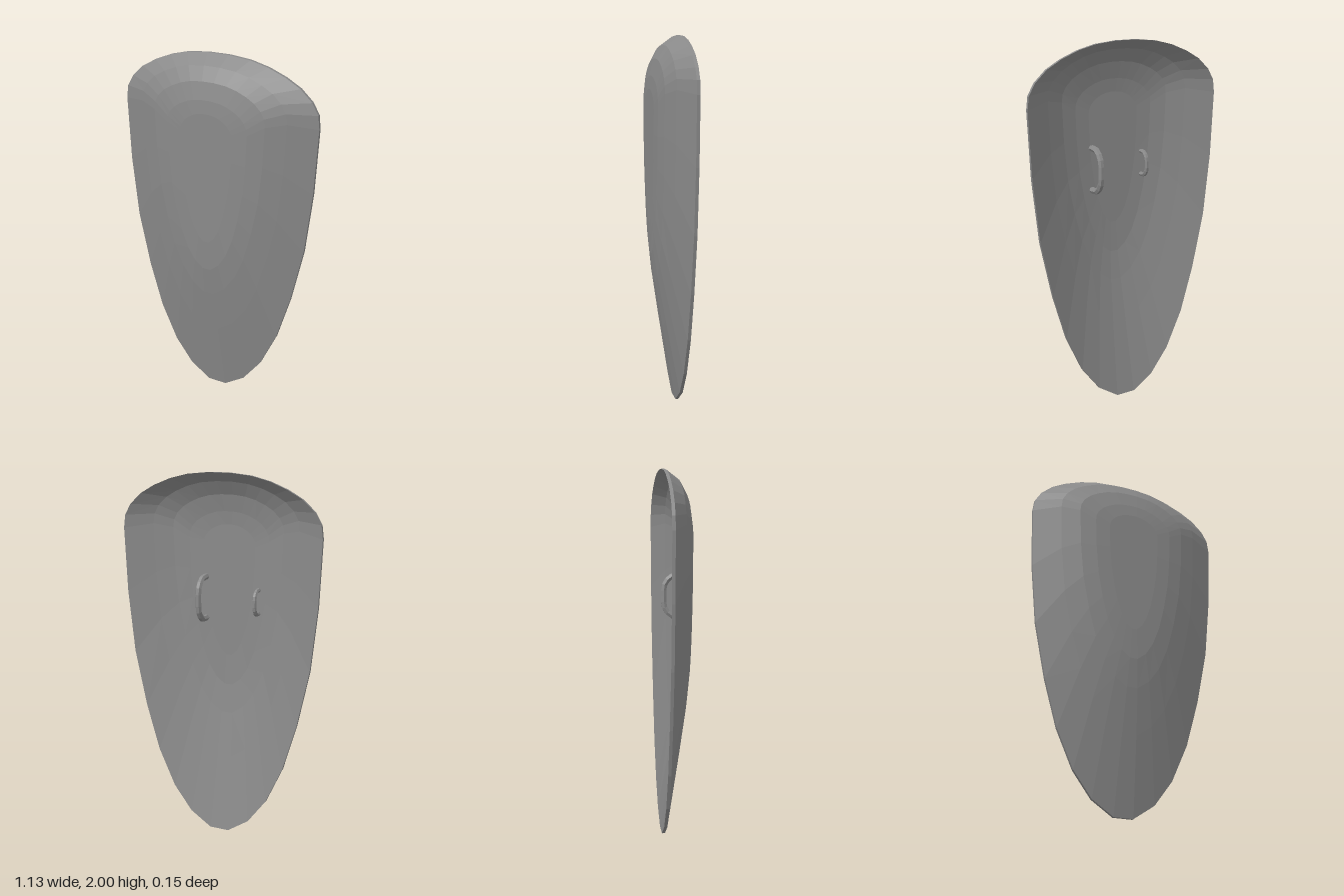
import * as THREE from 'three';

const steel = new THREE.MeshStandardMaterial({ color: 0x8a8a8a });
steel.name = 'steel grey';

// right half of the rim, bottom to top
const half = [
  [0.055, 0], [0.175, 0.08], [0.28, 0.22], [0.375, 0.43], [0.45, 0.69],
  [0.515, 1.0], [0.55, 1.34], [0.564, 1.69], [0.555, 1.76], [0.52, 1.82],
  [0.455, 1.88], [0.375, 1.925], [0.28, 1.963], [0.18, 1.988], [0.06, 2.0],
];
const outline = [...half, ...half.slice().reverse().map(([x, y]) => [-x, y])];

// dome rings from rim to crown: width scale, bottom y, top y, front z
const rings = [
  [1, 0, 2, -0.06],
  [0.743, 0.42, 1.95, 0.01],
  [0.566, 0.67, 1.88, 0.05],
  [0.41, 0.83, 1.79, 0.07],
  [0.265, 1.0, 1.72, 0.077],
];
const THICK = 0.017;

function flat(geometry) {
  const g = geometry.index ? geometry.toNonIndexed() : geometry;
  g.computeVertexNormals();
  return g;
}

function shellGeometry() {
  const pos = [];
  const n = outline.length;
  const point = (r, i, back) => {
    const [s, y0, y1, z] = rings[r];
    const [x, y] = outline[i % n];
    return [x * s, y0 + (y / 2) * (y1 - y0), z - (back ? THICK : 0)];
  };
  const quad = (a, b, c, d) => pos.push(...a, ...b, ...c, ...a, ...c, ...d);
  const last = rings.length - 1;
  for (let i = 0; i < n; i++) {
    // domed front and hollow back
    for (let r = 0; r < last; r++) {
      quad(point(r, i), point(r, i + 1), point(r + 1, i + 1), point(r + 1, i));
      quad(point(r, i, true), point(r + 1, i, true), point(r + 1, i + 1, true), point(r, i + 1, true));
    }
    // flat crown on both sides
    pos.push(...point(last, i), ...point(last, i + 1), 0, 1.4, rings[last][3]);
    pos.push(...point(last, i + 1, true), ...point(last, i, true), 0, 1.4, rings[last][3] - THICK);
    // rim edge
    quad(point(0, i), point(0, i, true), point(0, i + 1, true), point(0, i + 1));
  }
  const g = new THREE.BufferGeometry();
  g.setAttribute('position', new THREE.Float32BufferAttribute(pos, 3));
  return flat(g);
}

// bowed grip whose two feet sink into the back of the shell
function handle(name, x, y0, y1, zFoot, zBar, radius) {
  const h = y1 - y0;
  const v = (t, d) => new THREE.Vector3(x, y0 + h * t, zFoot + (zBar - zFoot) * d);
  const path = new THREE.CatmullRomCurve3([
    v(0.04, 0), v(0.06, 0.6), v(0.24, 0.95), v(0.5, 1), v(0.76, 0.95), v(0.94, 0.6), v(0.96, 0),
  ]);
  const mesh = new THREE.Mesh(flat(new THREE.TubeGeometry(path, 12, radius, 6)), steel);
  mesh.name = name;
  return mesh;
}

export function createModel() {
  const group = new THREE.Group();
  group.name = 'shield';
  const shell = new THREE.Mesh(shellGeometry(), steel);
  shell.name = 'shieldShell';
  group.add(shell);
  group.add(handle('armGrip', 0.135, 1.19, 1.44, 0.066, -0.045, 0.017));
  group.add(handle('handGrip', -0.175, 1.245, 1.385, 0.06, -0.005, 0.012));
  return group;
}
